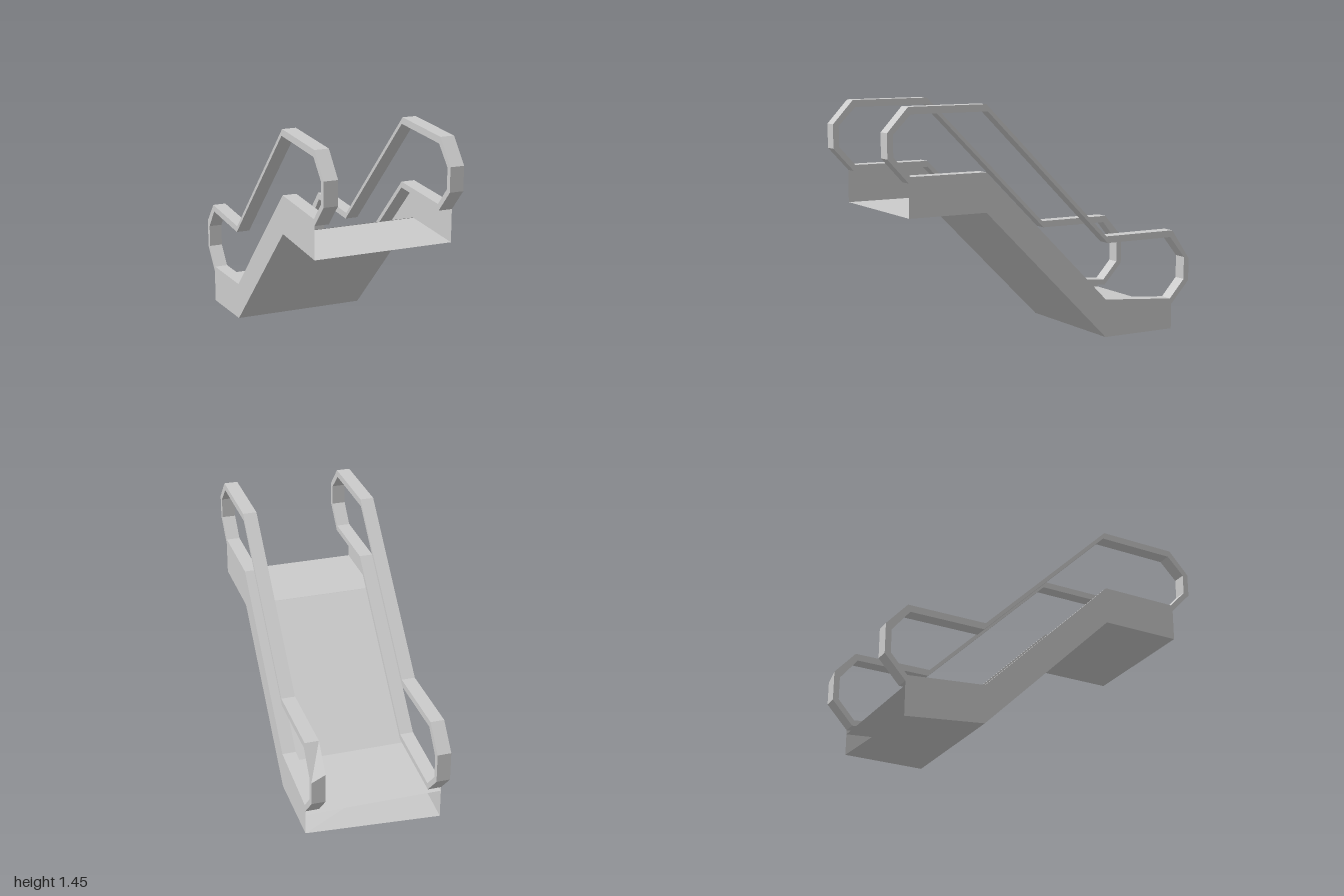
import * as THREE from 'three';

const HALF = 0.4;   // half of the overall width
const RAIL = 0.08;  // handrail width

// Side profiles as [z, y]
const railOuter = [
  [0.875, 1.445], [0.4, 1.445], [-0.4, 0.65], [-0.875, 0.65], [-1, 0.51], [-1, 0.335],
  [-0.875, 0.2], [-0.4, 0.24], [0.4, 1.035], [0.875, 1.035], [1, 1.17], [1, 1.31],
];
const railInner = [
  [0.86, 1.405], [0.39, 1.405], [-0.41, 0.61], [-0.86, 0.61], [-0.965, 0.48], [-0.965, 0.345],
  [-0.865, 0.235], [-0.4, 0.275], [0.4, 1.07], [0.865, 1.07], [0.965, 1.18], [0.965, 1.3],
];
const underside = [[0.875, 0.845], [0.4, 0.845], [-0.4, 0.05], [-0.875, 0.05]];
const walkway = [[0.395, 0.845], [-0.4, 0.215], [-0.875, 0.175]];

const toVectors = (points) => points.map(([z, y]) => new THREE.Vector2(z, y));

// Sheet spanning the full width along a side profile; drop lowers the last right-hand corner
function sheet(profile, drop = 0) {
  const positions = [];
  for (let i = 0; i < profile.length - 1; i++) {
    const [z0, y0] = profile[i];
    const [z1, y1] = profile[i + 1];
    const low = y1 - (i === profile.length - 2 ? drop : 0);
    const a = [-HALF, y0, z0], b = [HALF, y0, z0], c = [HALF, y1, z1], d = [-HALF, low, z1];
    positions.push(...a, ...b, ...c, ...a, ...c, ...d);
  }
  const geometry = new THREE.BufferGeometry();
  geometry.setAttribute('position', new THREE.Float32BufferAttribute(positions, 3));
  geometry.computeVertexNormals();
  return geometry;
}

// Thin outer wall between the underside and the lower run of the handrail
function wall(side) {
  const bottom = underside.map((p) => [...p]);
  if (side < 0) bottom[3][1] = 0;
  const top = railOuter.slice(6, 10);
  const geometry = new THREE.ShapeGeometry(new THREE.Shape(toVectors([...bottom, ...top])));
  geometry.rotateY(-Math.PI / 2);
  geometry.translate(side * HALF, 0, 0);
  return geometry;
}

// Closed handrail loop of rectangular section
function handrail(side) {
  const shape = new THREE.Shape(toVectors(railOuter));
  shape.holes.push(new THREE.Path(toVectors(railInner)));
  const geometry = new THREE.ExtrudeGeometry(shape, { depth: RAIL, bevelEnabled: false });
  geometry.rotateY(-Math.PI / 2);
  geometry.translate(side > 0 ? HALF : -HALF + RAIL, 0, 0);
  if (side > 0) {
    // The lower outside corner of the left rail dips slightly
    const p = geometry.attributes.position;
    for (let i = 0; i < p.count; i++) {
      if (p.getX(i) > HALF - 0.01 && p.getZ(i) < -0.99 && p.getY(i) > 0.5) p.setY(i, 0.47);
    }
    geometry.computeVertexNormals();
  }
  return geometry;
}

export function createModel() {
  const model = new THREE.Group();
  model.name = 'escalator';
  const solid = new THREE.MeshStandardMaterial({ color: 0xcccccc, flatShading: true });
  const thin = new THREE.MeshStandardMaterial({
    color: 0xcccccc, flatShading: true, side: THREE.DoubleSide,
  });
  const add = (name, geometry, material) => {
    const mesh = new THREE.Mesh(geometry, material);
    mesh.name = name;
    model.add(mesh);
  };

  // Floor: outer underside and the walkway raised above it towards the low end
  add('underside', sheet(underside, 0.05), thin);
  add('walkway', sheet(walkway), thin);

  // Walls and handrails on both sides
  for (const [name, side] of [['left', 1], ['right', -1]]) {
    add(name + 'Wall', wall(side), thin);
    add(name + 'Handrail', handrail(side), solid);
  }
  return model;
}
